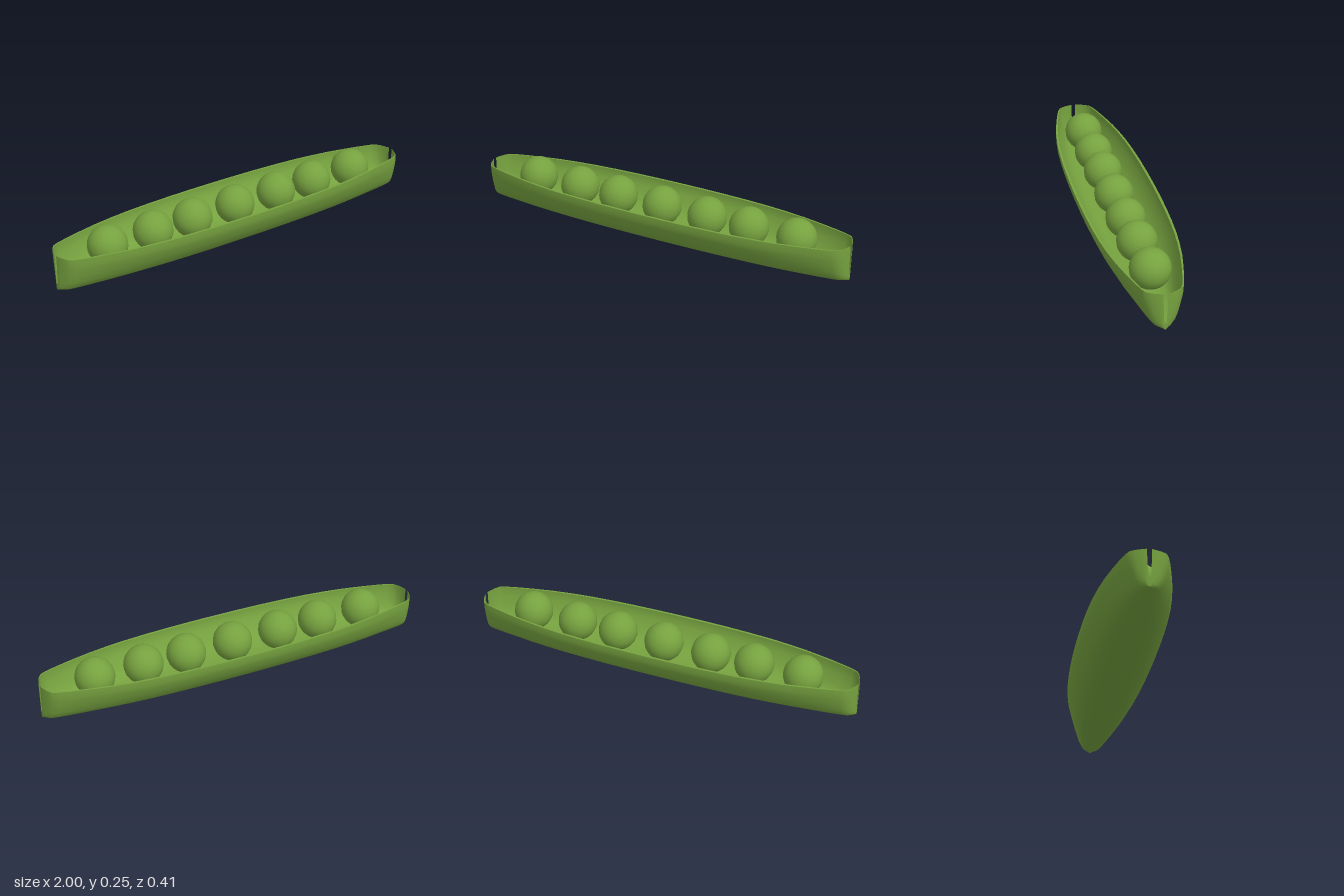
import * as THREE from 'three';
import { toCreasedNormals } from 'three/addons/utils/BufferGeometryUtils.js';

// Pod cross-section, rim to keel: [share of half width, height]
const OUTER = [[1, 0.185], [1, 0.153], [0.95, 0.125], [0.87, 0.09], [0.74, 0.05],
  [0.62, 0.025], [0.48, 0.009], [0.25, 0.002], [0, 0]];
const FLOOR = 0.03, RIM = 0.185;

// Half width along the pod, centre to tip: [x, half width]
const HALF = [[0, 0.203], [0.12, 0.202], [0.25, 0.199], [0.38, 0.193], [0.5, 0.184], [0.6, 0.172],
  [0.7, 0.156], [0.8, 0.134], [0.88, 0.114], [0.94, 0.096], [0.967, 0.083], [0.983, 0.059], [0.994, 0.032], [1, 0.013]];

function podGeometry() {
  const stations = [...HALF.slice(1).reverse().map(([x, w]) => [-x, w]), ...HALF];
  // full U from the left rim under the keel to the right rim
  const u = [...OUTER, ...OUTER.slice(0, -1).reverse().map(([s, y]) => [-s, y])];
  const n = u.length, ring = 2 * n;
  const pos = [], idx = [];
  for (const [x, w] of stations) {
    const inner = w * 0.95 - 0.002;
    for (const [s, y] of u) pos.push(x, y, s * w);
    for (const [s, y] of [...u].reverse()) pos.push(x, FLOOR + y * (RIM - FLOOR) / RIM, s * inner);
  }
  const quad = (a, b, c, d) => idx.push(a, b, c, a, c, d);
  // outer skin, rims and inner skin
  for (let i = 0; i < stations.length - 1; i++) {
    for (let j = 0; j < ring; j++) {
      const k = (j + 1) % ring, a = i * ring, b = a + ring;
      quad(a + j, a + k, b + k, b + j);
    }
  }
  // narrow wall ends, leaving the slot at each tip open
  const last = (stations.length - 1) * ring;
  for (let j = 0; j < n - 1; j++) {
    const o = j, p = j + 1, q = ring - 2 - j, r = ring - 1 - j;
    quad(last + o, last + p, last + q, last + r);
    quad(r, q, p, o);
  }
  const geo = new THREE.BufferGeometry();
  geo.setAttribute('position', new THREE.Float32BufferAttribute(pos, 3));
  geo.setIndex(idx);
  return toCreasedNormals(geo, 0.8);
}

export function createModel() {
  const group = new THREE.Group();
  group.name = 'openPeaPod';
  const green = new THREE.MeshStandardMaterial({ color: 0x76a23f });
  green.name = 'pea green';

  const pod = new THREE.Mesh(podGeometry(), green);
  pod.name = 'podShell';
  group.add(pod);

  // row of peas
  const peaGeo = new THREE.SphereGeometry(0.098, 20, 14);
  [-0.725, -0.475, -0.25, 0, 0.25, 0.475, 0.725].forEach((x, i) => {
    const pea = new THREE.Mesh(peaGeo, green);
    pea.name = `pea${i + 1}`;
    pea.position.set(x, 0.152, 0);
    group.add(pea);
  });
  return group;
}
